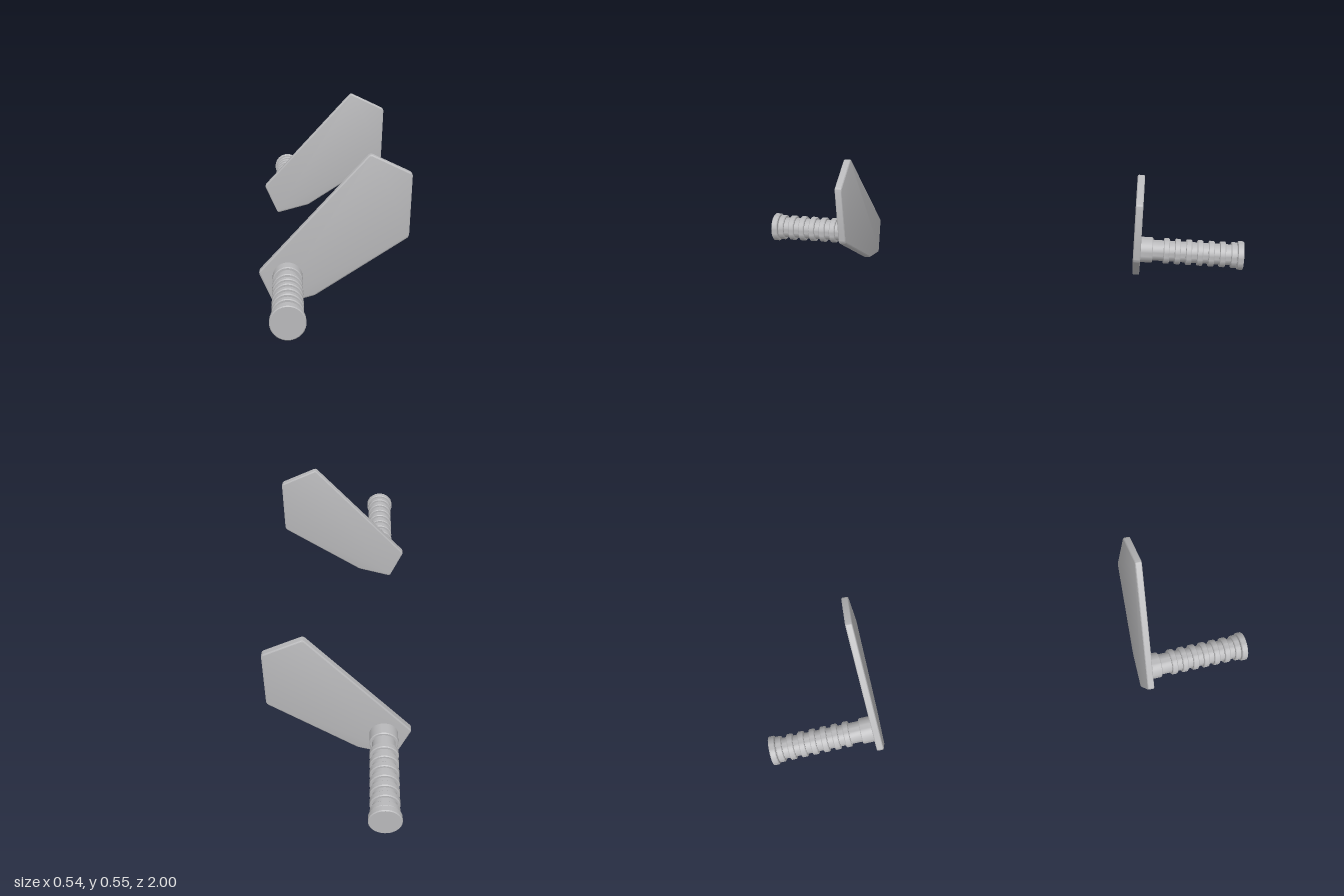
import * as THREE from 'three';
import { toCreasedNormals } from 'three/addons/utils/BufferGeometryUtils.js';

const grey = new THREE.MeshStandardMaterial({ color: 0xb8b8ba });
grey.name = 'light grey';

// Polygon with softly rounded corners
function roundedShape(points, radius) {
  const pts = points.map(([x, y]) => new THREE.Vector2(x, y));
  const shape = new THREE.Shape();
  pts.forEach((p, i) => {
    const prev = pts[(i + pts.length - 1) % pts.length];
    const next = pts[(i + 1) % pts.length];
    const a = p.clone().add(prev.clone().sub(p).setLength(radius));
    const b = p.clone().add(next.clone().sub(p).setLength(radius));
    if (i === 0) shape.moveTo(a.x, a.y);
    else shape.lineTo(a.x, a.y);
    shape.quadraticCurveTo(p.x, p.y, b.x, b.y);
  });
  shape.closePath();
  return shape;
}

// Flat crank plate, centred on its own thickness
function plateGeometry() {
  const outline = [[-0.272, 0.127], [-0.215, -0.001], [-0.074, 0.037],
    [0.258, 0.251], [0.267, 0.481], [0.119, 0.552]];
  const bevel = 0.005, thickness = 0.028;
  const geo = new THREE.ExtrudeGeometry(roundedShape(outline, 0.011), {
    depth: thickness - 2 * bevel, curveSegments: 5,
    bevelEnabled: true, bevelSize: bevel, bevelThickness: bevel,
    bevelOffset: -bevel, bevelSegments: 3,
  });
  geo.translate(0, 0, bevel - thickness / 2);
  return toCreasedNormals(geo, 0.6);
}

// Ribbed grip: profile of radius against distance from the centre
function gripGeometry() {
  const core = 0.043, rib = 0.053, c = 0.003;
  const profile = [[0, 0.575], [0.053, 0.575], [0.053, 0.632 - c], [0.053 - c, 0.632], [core, 0.632]];
  for (let i = 0; i < 7; i++) {
    const mid = 0.688 + i * 0.0455, half = 0.012;
    profile.push([core, mid - half], [rib - c, mid - half], [rib, mid - half + c],
      [rib, mid + half - c], [rib - c, mid + half], [core, mid + half]);
  }
  profile.push([core, 0.975], [0.056, 0.975], [0.059, 0.978], [0.059, 0.997], [0.056, 1], [0, 1]);
  const geo = new THREE.LatheGeometry(profile.map(([r, h]) => new THREE.Vector2(r, h)), 40);
  return toCreasedNormals(geo, 0.6);
}

export function createModel() {
  const model = new THREE.Group();
  model.name = 'crankHandles';
  const plate = plateGeometry();
  const grip = gripGeometry();

  // One plate and grip at the front, one at the back
  for (const [side, dir] of [['front', 1], ['back', -1]]) {
    const plateMesh = new THREE.Mesh(plate, grey);
    plateMesh.name = side + 'Plate';
    plateMesh.position.z = dir * 0.568;

    const gripMesh = new THREE.Mesh(grip, grey);
    gripMesh.name = side + 'Grip';
    gripMesh.position.set(-0.169, 0.11, 0);
    gripMesh.rotation.x = dir * Math.PI / 2;

    model.add(plateMesh, gripMesh);
  }
  return model;
}
